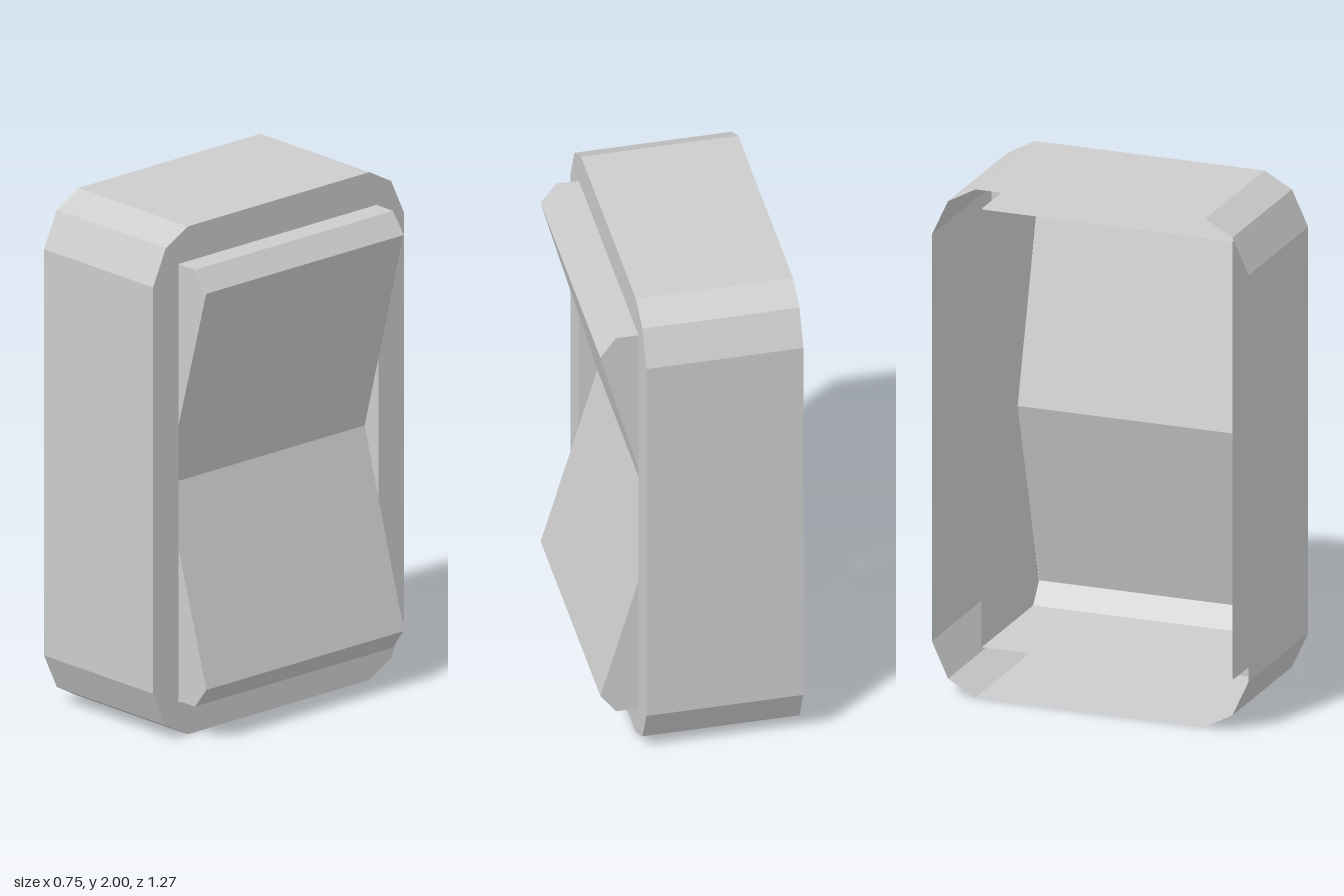
import * as THREE from 'three';

const grey = new THREE.MeshStandardMaterial({ color: 0xcccccc, side: THREE.DoubleSide });
grey.name = 'plain grey';

const FRONT = 0.225, BACK = -0.375, SOCKET_BACK = -0.2;

// Flat-sided wall swept between two cross-sections (arrays of [x, y, z])
function wall(a, b, closed) {
  const pos = [];
  const n = closed ? a.length : a.length - 1;
  for (let i = 0; i < n; i++) {
    const j = (i + 1) % a.length;
    pos.push(...a[i], ...a[j], ...b[j], ...a[i], ...b[j], ...b[i]);
  }
  const g = new THREE.BufferGeometry();
  g.setAttribute('position', new THREE.Float32BufferAttribute(pos, 3));
  g.computeVertexNormals();
  return g;
}

function add(group, name, geometry) {
  const mesh = new THREE.Mesh(geometry, grey);
  mesh.name = name;
  group.add(mesh);
  return mesh;
}

const toShape = pts => new THREE.Shape(pts.map(p => new THREE.Vector2(...p)));

export function createModel() {
  const model = new THREE.Group();
  model.name = 'rockerSwitch';

  // Housing outline as [z, y], counter-clockwise seen from -x
  const quarter = [[0.635, 0.8], [0.57, 0.94], [0.46, 1]];
  const mirrored = quarter.map(([z, y]) => [-z, y]).reverse();
  const top = [...quarter, ...mirrored];
  const outline = [...top, ...top.map(([z, y]) => [-z, -y])].map(([z, y]) => [z, y + 1]);
  const opening = [[0.505, 1.863], [-0.505, 1.863], [-0.505, 0.137], [0.505, 0.137]];
  const atX = (pts, x) => pts.map(([z, y]) => [x, y, z]);

  // Thin housing, open at the back
  const housing = new THREE.Group();
  housing.name = 'housing';
  add(housing, 'housingWall', wall(atX(outline, FRONT), atX(outline, BACK), true));

  // Front frame around the rocker, turned to face +x
  const frame = toShape(outline.map(([z, y]) => [-z, y]));
  frame.holes.push(new THREE.Path(opening.map(([z, y]) => new THREE.Vector2(-z, y))));
  add(housing, 'frontFrame', new THREE.ShapeGeometry(frame).rotateY(Math.PI / 2).translate(FRONT, 0, 0));

  // Sleeve that holds the rocker
  add(housing, 'socket', wall(atX(opening, SOCKET_BACK), atX(opening, FRONT), true));
  model.add(housing);

  // Hollow rocker: V-shaped face with bevelled ends, as [x, y]
  const profile = [
    [SOCKET_BACK, 0.14], [0.31, 0.14], [0.37, 0.22], [0.153, 0.975],
    [0.37, 1.78], [0.31, 1.86], [SOCKET_BACK, 1.86],
  ];
  const halfWidth = x => (x > FRONT ? 0.5 : 0.502);
  const section = s => profile.map(([x, y]) => [x, y, s * halfWidth(x)]);
  const rocker = new THREE.Group();
  rocker.name = 'rocker';
  add(rocker, 'rockerFace', wall(section(1), section(-1), false));
  const side = new THREE.ShapeGeometry(toShape(profile));
  add(rocker, 'rockerFrontSide', side).position.z = 0.501;
  add(rocker, 'rockerBackSide', side.clone().rotateY(Math.PI).scale(-1, 1, 1)).position.z = -0.501;
  model.add(rocker);

  return model;
}
